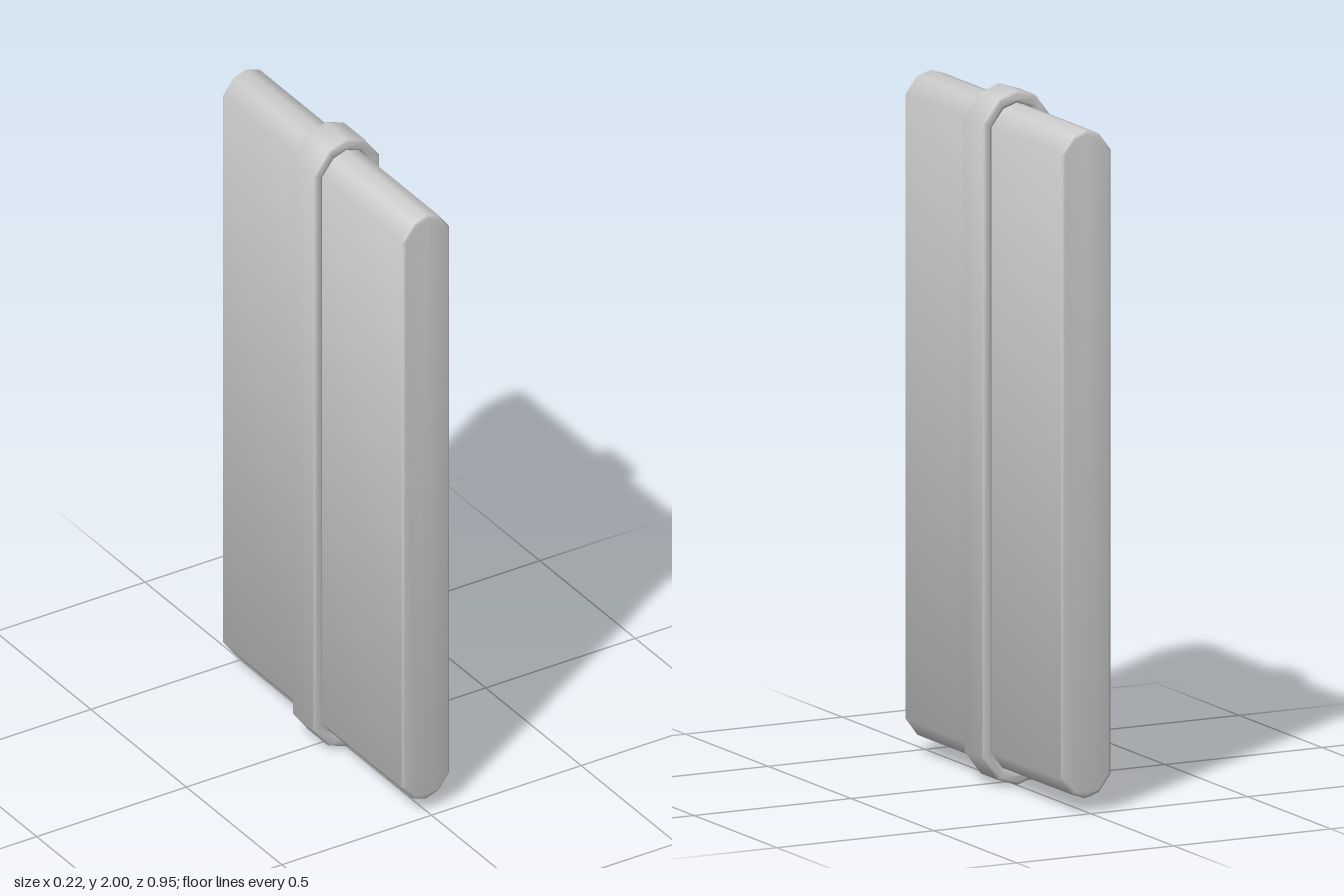
import * as THREE from 'three';
import { toCreasedNormals } from 'three/addons/utils/BufferGeometryUtils.js';

const MID = 1; // height of the centre

// Slim faceted capsule outline, centred on the origin
function capsule(halfW, halfH, path = new THREE.Shape()) {
  const cap = [[1, 0.79 * halfW], [0.54, 0.18 * halfW]];
  const right = cap.map(([fx, drop]) => [fx * halfW, halfH - drop]);
  const top = [...right, [0, halfH], ...right.map(([x, y]) => [-x, y]).reverse()];
  const points = [...top, ...top.map(([x, y]) => [-x, -y])];
  path.setFromPoints(points.map(([x, y]) => new THREE.Vector2(x, y)));
  return path;
}

// Extrudes along z with softened rims, keeping the outline's full size
function extrudePart(name, shape, halfDepth, bevel) {
  const geometry = new THREE.ExtrudeGeometry(shape, {
    depth: 2 * (halfDepth - bevel),
    bevelEnabled: true,
    bevelThickness: bevel,
    bevelSize: bevel,
    bevelOffset: -bevel,
    bevelSegments: 3,
  });
  geometry.translate(0, MID, -(halfDepth - bevel));
  const material = new THREE.MeshStandardMaterial({ color: 0xcccccc });
  const mesh = new THREE.Mesh(toCreasedNormals(geometry, 0.72), material);
  mesh.name = name;
  return mesh;
}

export function createModel() {
  const group = new THREE.Group();
  group.name = 'bandedSlab';

  // Tall flat slab with rounded top and bottom edges
  group.add(extrudePart('slab', capsule(0.079, 0.962), 0.475, 0.01));

  // Raised band wrapped around the middle of the slab
  const bandShape = capsule(0.11, 1);
  bandShape.holes.push(capsule(0.081, 0.964, new THREE.Path()));
  group.add(extrudePart('band', bandShape, 0.059, 0.007));

  return group;
}
